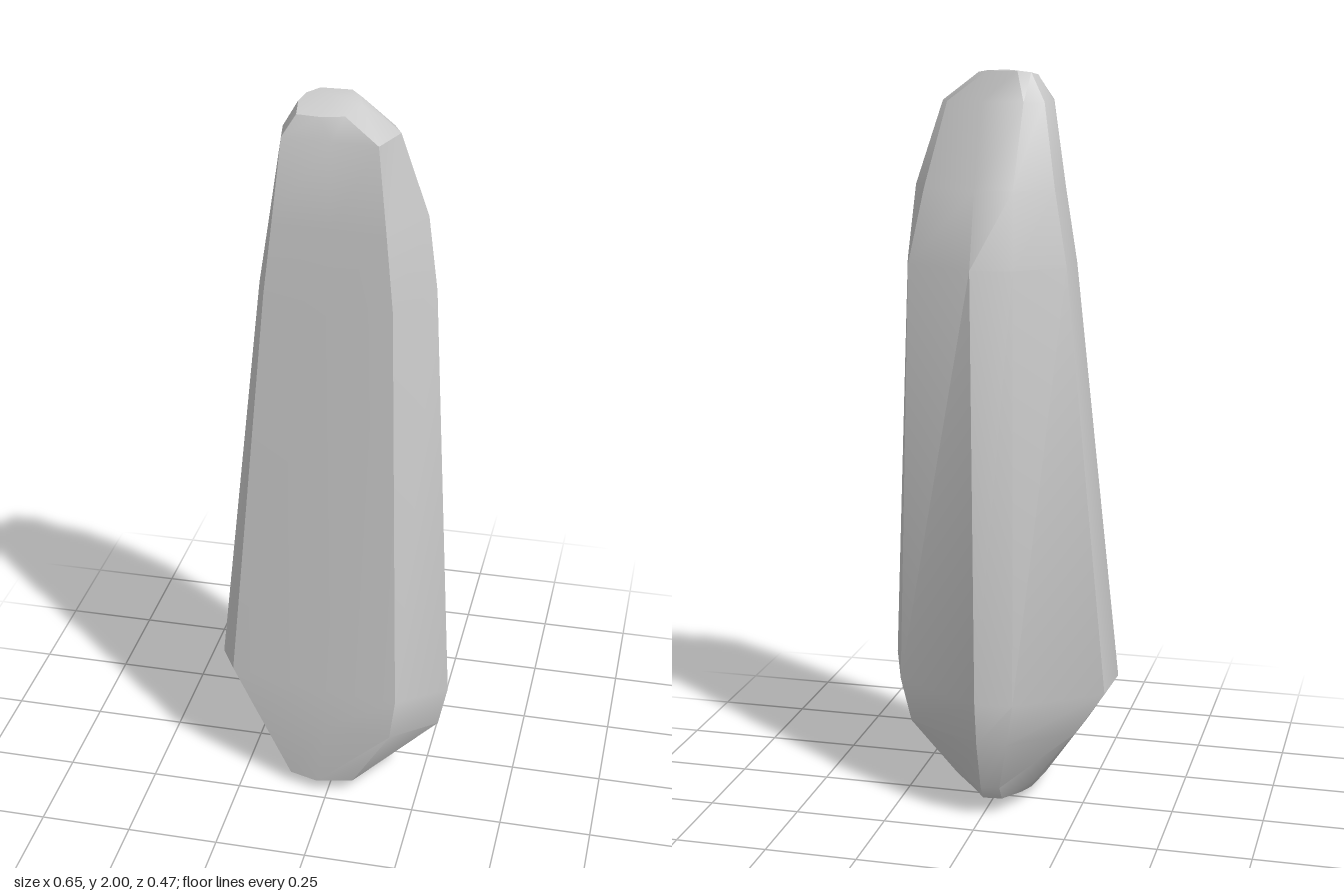
import * as THREE from 'three';
import { toCreasedNormals } from 'three/addons/utils/BufferGeometryUtils.js';

// Height of each cross-section, and how much it rises toward the back
const levels = [[0, 0.2], [0.05, 0.15], [0.23, 0], [0.35, 0], [1.5, 0], [1.7, 0], [1.92, 0], [1.98, 0.18]];

// Cross-sections as [x, z], counter-clockwise from above, starting front-right of the stone
const rings = [
  [[-0.08, 0.12], [-0.03, 0.14], [0.05, 0.12], [0.06, 0.08], [0.05, -0.04], [0, -0.14], [-0.05, -0.13], [-0.08, -0.02], [-0.09, 0.06]],
  [[-0.11, 0.2], [-0.03, 0.22], [0.07, 0.2], [0.12, 0.1], [0.1, -0.04], [0, -0.17], [-0.05, -0.16], [-0.12, -0.05], [-0.13, 0.06]],
  [[-0.21, 0.19], [0, 0.23], [0.18, 0.235], [0.3, 0.14], [0.22, -0.08], [0, -0.215], [-0.08, -0.205], [-0.24, -0.07], [-0.25, 0.06]],
  [[-0.28, 0.17], [-0.03, 0.22], [0.195, 0.235], [0.325, 0.14], [0.25, -0.08], [0, -0.235], [-0.1, -0.22], [-0.32, -0.07], [-0.328, 0.09]],
  [[-0.175, 0.15], [0, 0.17], [0.165, 0.185], [0.25, 0.03], [0.22, -0.07], [0.03, -0.16], [-0.08, -0.14], [-0.2, -0.04], [-0.205, 0.07]],
  [[-0.15, 0.15], [0, 0.16], [0.145, 0.175], [0.225, 0.03], [0.18, -0.05], [0.03, -0.11], [-0.07, -0.1], [-0.165, -0.03], [-0.175, 0.06]],
  [[-0.125, 0.14], [0, 0.148], [0.12, 0.155], [0.155, 0.05], [0.13, 0], [0.03, -0.03], [-0.08, -0.025], [-0.13, 0], [-0.14, 0.06]],
  [[-0.09, 0.125], [-0.03, 0.13], [0.03, 0.12], [0.06, 0.06], [0.05, 0.02], [0.02, -0.01], [-0.06, -0.01], [-0.09, 0.02], [-0.1, 0.06]],
];

function stoneGeometry() {
  const n = rings[0].length;
  const last = (rings.length - 1) * n;
  const positions = [];
  const index = [];
  rings.forEach((ring, r) => {
    const [y, rise] = levels[r];
    for (const [x, z] of ring) positions.push(x, Math.max(0, y + rise * (0.1 - z)), z);
  });
  // Centre points of the foot and the tip
  const foot = positions.length / 3;
  positions.push(-0.01, 0.005, 0.06, -0.02, 2, 0.04);

  for (let j = 0; j < n; j++) {
    const k = (j + 1) % n;
    for (let r = 0; r < rings.length - 1; r++) {
      const a = r * n + j, b = r * n + k;
      index.push(a, b, b + n, a, b + n, a + n);
    }
    index.push(foot, k, j, foot + 1, last + j, last + k);
  }
  const geometry = new THREE.BufferGeometry();
  geometry.setAttribute('position', new THREE.Float32BufferAttribute(positions, 3));
  geometry.setIndex(index);
  // Soft shading over the broad faces, crisp on the main ridges
  return toCreasedNormals(geometry, 0.6);
}

export function createModel() {
  const group = new THREE.Group();
  group.name = 'standingStone';
  const stone = new THREE.Mesh(stoneGeometry(), new THREE.MeshStandardMaterial({ color: 0xcccccc }));
  stone.name = 'stone';
  group.add(stone);
  return group;
}
